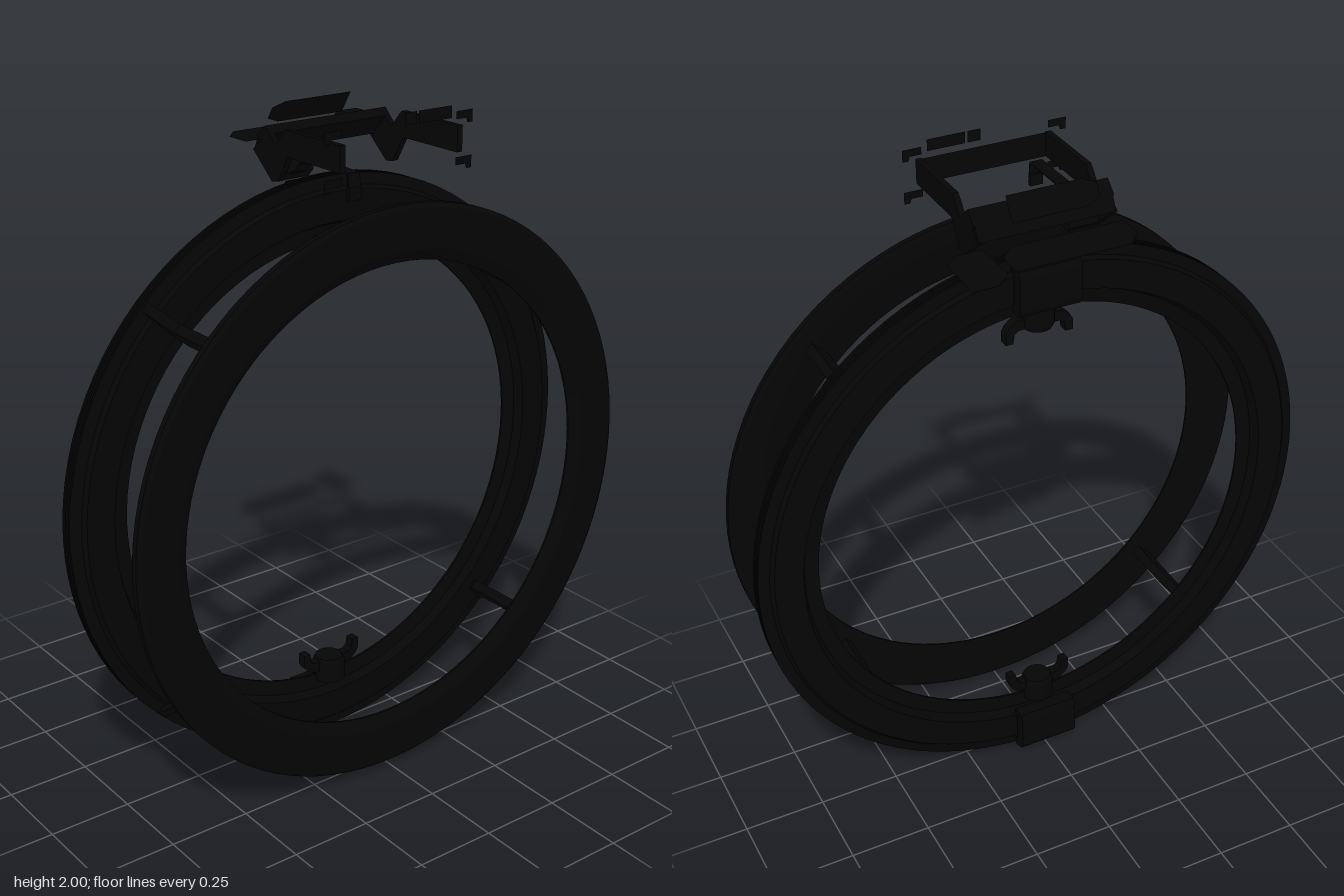
import * as THREE from 'three';
import { toCreasedNormals } from 'three/addons/utils/BufferGeometryUtils.js';

const CY = 0.889; // height of the ring axis
const SHEET = 0.0004; // thickness of the display sheets

export function createModel() {
  const model = new THREE.Group();
  model.name = 'ringSight';
  const black = new THREE.MeshStandardMaterial({ color: 0x050505 });
  black.name = 'matte black';

  const add = (name, geometry, parent = model) => {
    const mesh = new THREE.Mesh(geometry, black);
    mesh.name = name;
    parent.add(mesh);
    return mesh;
  };
  // Outline extruded along z and centred on z = 0
  const plate = (pts, depth) => {
    const shape = new THREE.Shape(pts.map(p => new THREE.Vector2(...p)));
    return new THREE.ExtrudeGeometry(shape, { depth, bevelEnabled: false }).translate(0, 0, -depth / 2);
  };
  // Profile of (z, y) points extruded along x and centred on cx
  const sideExtrude = (pts, width, cx = 0) =>
    plate(pts, width).rotateY(-Math.PI / 2).translate(cx, 0, 0);
  // Closed profile of (radius, z) points turned about the z axis
  const ring = pts => {
    const lathe = new THREE.LatheGeometry([...pts, pts[0]].map(p => new THREE.Vector2(...p)), 96);
    return toCreasedNormals(lathe.rotateX(Math.PI / 2), 0.5);
  };

  // Rear ring: thin inner flange, thick body and ridged rim
  const rear = [[0.7, -0.01], [0.7, -0.016], [0.745, -0.022], [0.758, -0.052], [0.845, -0.052], [0.855, -0.04]];
  for (const z of [-0.038, -0.022, -0.006]) {
    rear.push([0.87, z], [0.888, z + 0.003], [0.888, z + 0.011], [0.87, z + 0.014]);
  }
  rear.push([0.855, 0.012], [0.845, 0.024], [0.758, 0.024], [0.745, -0.004]);
  add('rearRing', ring(rear)).position.y = CY;

  // Front ring, dished towards its inner edge
  add('frontRing', ring([[0.7, 0.291], [0.7, 0.285], [0.715, 0.28], [0.852, 0.28], [0.864, 0.288],
    [0.864, 0.307], [0.852, 0.315], [0.735, 0.315]])).position.y = CY;

  // Four cranked struts on the diagonals; profile is (z, radius)
  const strutProfile = [[0.285, 0.742], [0.285, 0.812], [0.085, 0.812], [0.06, 0.83],
    [0.01, 0.885], [0.01, 0.81], [0.04, 0.772], [0.075, 0.742]];
  for (let i = 0; i < 4; i++) {
    const strut = add('strut', sideExtrude(strutProfile, 0.03));
    strut.position.y = CY;
    strut.rotation.z = Math.PI / 4 + i * Math.PI / 2;
  }

  // Clamps with wing nuts at the top and bottom of the rear ring
  for (const angle of [0, Math.PI]) {
    const clamp = new THREE.Group();
    clamp.name = angle ? 'bottomClamp' : 'topClamp';
    clamp.position.y = CY;
    clamp.rotation.z = angle;
    model.add(clamp);
    add('clampBracket', sideExtrude([[-0.045, 0.73], [-0.085, 0.73], [-0.096, 0.748], [-0.096, 0.85],
      [-0.085, 0.868], [-0.045, 0.88], [-0.045, 0.855], [-0.058, 0.845], [-0.058, 0.76],
      [-0.045, 0.755]], 0.19), clamp);
    add('clampNut', new THREE.CylinderGeometry(0.05, 0.05, 0.06, 24).translate(0, 0.69, -0.01), clamp);
    add('clampCap', new THREE.CylinderGeometry(0.05, 0.042, 0.016, 24).translate(0, 0.652, -0.01), clamp);
    for (const s of [-1, 1]) {
      const wing = [[0.03, 0.685], [0.075, 0.68], [0.096, 0.662], [0.105, 0.645], [0.105, 0.612],
        [0.082, 0.612], [0.078, 0.64], [0.065, 0.65], [0.03, 0.65]].map(([x, y]) => [s * x, y]);
      add('nutWing', plate(wing, 0.03).translate(0, 0, -0.01), clamp);
    }
  }

  // Upper sight frame: two cranked arms, a tilted rear crossbar and a rear-facing front pane
  const armProfile = [[0.315, 1.872], [0.315, 1.945], [0.075, 1.945], [0.03, 1.895], [-0.018, 1.94],
    [-0.055, 1.908], [-0.045, 1.89], [-0.077, 1.866], [0.01, 1.792], [0.04, 1.797], [0.085, 1.872]];
  for (const s of [-1, 1]) add('sightArm', sideExtrude(armProfile, 0.018, s * 0.2));
  add('sightCrossbar', sideExtrude([[-0.077, 1.866], [-0.05, 1.86], [0.003, 1.92], [-0.018, 1.94],
    [-0.055, 1.908]], 0.41));
  add('frontPane', new THREE.PlaneGeometry(0.4, 0.073).rotateY(Math.PI).translate(0, 1.908, 0.31));

  // Control box and flat cable beside one arm
  add('cableBox', sideExtrude([[0.055, 1.82], [0.03, 1.795], [0.01, 1.79], [-0.005, 1.805],
    [0, 1.86], [0.05, 1.865]], 0.1, -0.15));
  add('flatCable', sideExtrude([[0.312, 1.8], [0.304, 1.862], [0.125, 1.864], [0.095, 1.85], [0.075, 1.825],
    [0.05, 1.815], [0.05, 1.819], [0.073, 1.829], [0.093, 1.854], [0.125, 1.868], [0.308, 1.866],
    [0.316, 1.8]], 0.04, -0.158));
  add('cablePlug', new THREE.BoxGeometry(0.04, 0.035, 0.014).translate(-0.158, 1.81, 0.308));

  // Tilted display sheet behind the crossbar
  const sheet = add('displaySheet', plate([[-0.14, -0.02], [-0.1, -0.037], [0.125, -0.037],
    [0.125, 0.037], [-0.1, 0.037], [-0.14, 0.02]], SHEET));
  sheet.position.set(0, 1.953, -0.092);
  sheet.rotation.x = 0.56;

  // Two horizontal floating panels; outline is (x, z)
  const panels = [
    [[-0.19, -0.22], [-0.145, -0.268], [0.19, -0.268], [0.19, -0.19], [0.145, -0.14], [-0.19, -0.14]],
    [[0.215, -0.27], [0.265, -0.315], [0.335, -0.315], [0.335, -0.16], [0.295, -0.12], [0.215, -0.12]],
  ];
  for (const p of panels) {
    add('floatingPanel', plate(p, SHEET).rotateX(Math.PI / 2).translate(0, 1.872, 0));
  }

  // Upright corner marks and dashes in the front plane
  for (const s of [-1, 1]) {
    for (const y of [1.982, 1.856]) {
      const mark = [[0.195, y], [0.252, y], [0.252, y - 0.035], [0.234, y - 0.035],
        [0.23, y - 0.022], [0.195, y - 0.022]].map(([x, v]) => [s * x, v]);
      add('cornerMark', plate(mark, SHEET).translate(0, 0, 0.305));
    }
  }
  for (const [x, w] of [[0.035, 0.04], [0.12, 0.115]]) {
    add('frontDash', new THREE.BoxGeometry(w, 0.034, SHEET).translate(x, 1.983, 0.305));
  }

  return model;
}
